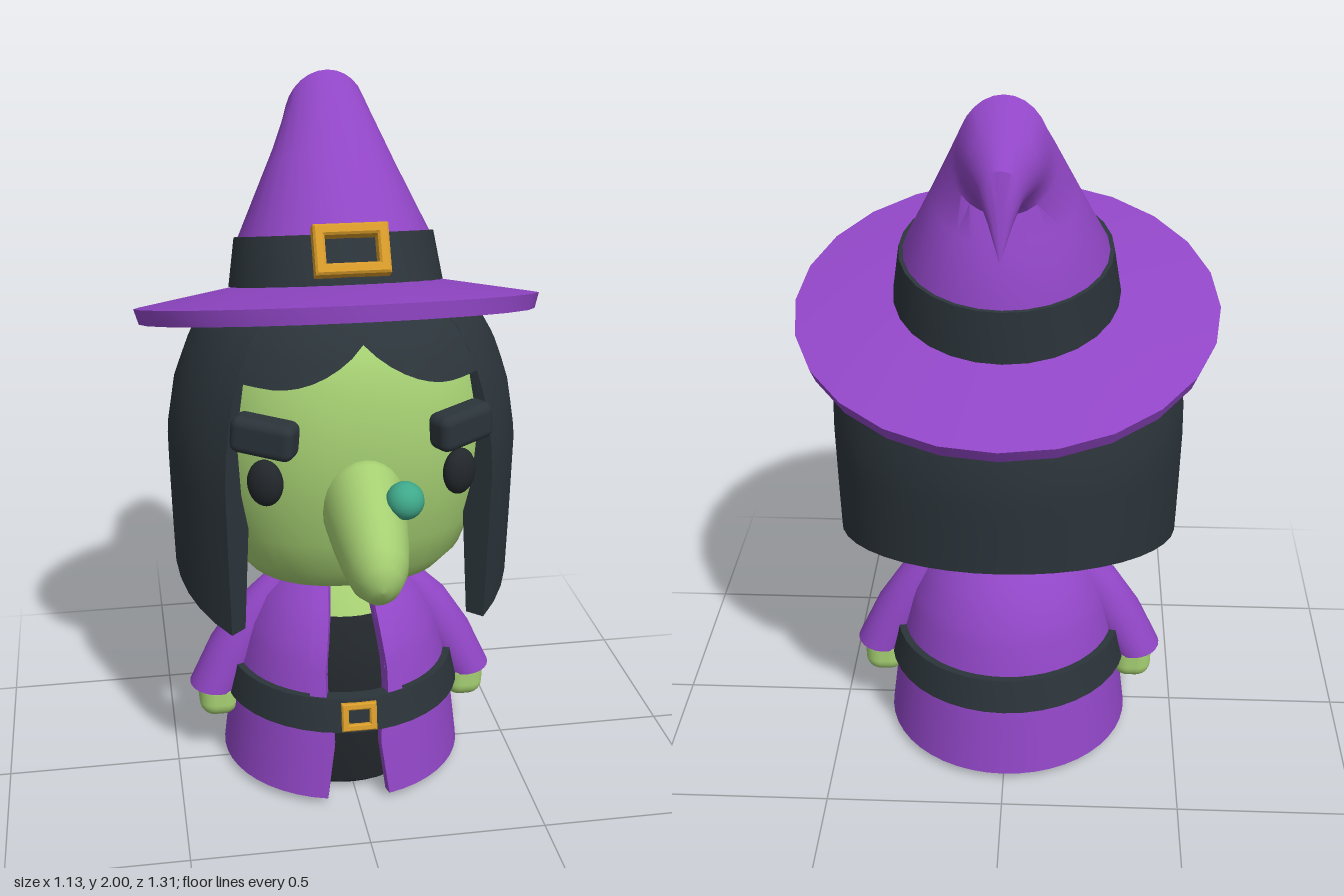
import * as THREE from 'three';
import { toCreasedNormals } from 'three/addons/utils/BufferGeometryUtils.js';
import { RoundedBoxGeometry } from 'three/addons/geometries/RoundedBoxGeometry.js';

const mat = (name, color) => Object.assign(new THREE.MeshStandardMaterial({ color }), { name });

// Piecewise-linear lookup in a list of [key, value] pairs
function interp(table, t) {
  for (let i = 1; i < table.length; i++) {
    const [a, va] = table[i - 1], [b, vb] = table[i];
    if (t <= b) return va + (vb - va) * Math.max(0, (t - a) / (b - a));
  }
  return table[table.length - 1][1];
}

function fromQuads(quads, crease) {
  const pos = [];
  for (const [a, b, c, d] of quads) pos.push(...a, ...b, ...c, ...a, ...c, ...d);
  const g = new THREE.BufferGeometry();
  g.setAttribute('position', new THREE.Float32BufferAttribute(pos, 3));
  return toCreasedNormals(g, crease);
}

// Thick sheet: point(column, row, layer), layer 0 outside and 1 inside
function shell(nu, nv, point, crease = 0.8) {
  const q = [];
  for (let i = 0; i < nu; i++) {
    for (let j = 0; j < nv; j++) {
      q.push([point(i, j, 0), point(i + 1, j, 0), point(i + 1, j + 1, 0), point(i, j + 1, 0)]);
      q.push([point(i, j, 1), point(i, j + 1, 1), point(i + 1, j + 1, 1), point(i + 1, j, 1)]);
    }
    q.push([point(i, 0, 0), point(i, 0, 1), point(i + 1, 0, 1), point(i + 1, 0, 0)]);
    q.push([point(i, nv, 0), point(i + 1, nv, 0), point(i + 1, nv, 1), point(i, nv, 1)]);
  }
  for (let j = 0; j < nv; j++) {
    q.push([point(0, j, 0), point(0, j + 1, 0), point(0, j + 1, 1), point(0, j, 1)]);
    q.push([point(nu, j, 0), point(nu, j, 1), point(nu, j + 1, 1), point(nu, j + 1, 0)]);
  }
  return fromQuads(q, crease);
}

// Closed loft through ellipses given as [ax, ay, bx, by, half width in z]
function loft(sections, n = 28, crease = 0.75) {
  const cap = ([ax, ay, bx, by]) => [(ax + bx) / 2, (ay + by) / 2, (ax + bx) / 2, (ay + by) / 2, 0];
  const s = [cap(sections[0]), ...sections, cap(sections[sections.length - 1])];
  const p = (i, k) => {
    const [ax, ay, bx, by, w] = s[i], f = ((k % n) / n) * Math.PI * 2, c = Math.cos(f) / 2;
    return [(ax + bx) / 2 + (ax - bx) * c, (ay + by) / 2 + (ay - by) * c, w * Math.sin(f)];
  };
  const q = [];
  for (let i = 0; i < s.length - 1; i++)
    for (let k = 0; k < n; k++) q.push([p(i, k), p(i + 1, k), p(i + 1, k + 1), p(i, k + 1)]);
  return fromQuads(q, crease);
}

const lathe = (pts, n = 40) => new THREE.LatheGeometry(pts.map(([x, y]) => new THREE.Vector2(x, y)), n);

// Rectangular bevelled buckle frame centred on the origin
function buckleFrame(w, h, bar, depth) {
  const rect = (C, a, b) => new C([[-a, -b], [a, -b], [a, b], [-a, b]].map(([x, y]) => new THREE.Vector2(x, y)));
  const bevel = bar * 0.2;
  const s = rect(THREE.Shape, w / 2 - bevel, h / 2 - bevel);
  s.holes.push(rect(THREE.Path, w / 2 - bar + bevel, h / 2 - bar + bevel));
  const g = new THREE.ExtrudeGeometry(s, {
    depth: depth - 2 * bevel, bevelThickness: bevel, bevelSize: bevel, bevelSegments: 1,
  });
  return g.translate(0, 0, -depth / 2 + bevel);
}

export function createModel() {
  const purple = mat('purple cloth', 0x9146c6);
  const green = mat('green skin', 0xa5cf72);
  const dark = mat('dark hair and bands', 0x2b343a);
  const black = mat('black dress', 0x22272b);
  const gold = mat('gold', 0xd99c2a);
  const teal = mat('teal wart', 0x3fa98a);

  const model = new THREE.Group();
  const add = (name, geo, material, pos = [0, 0, 0], rot = [0, 0, 0]) => {
    const m = new THREE.Mesh(geo, material);
    m.name = name;
    m.position.set(...pos);
    m.rotation.set(...rot);
    model.add(m);
    return m;
  };

  // Head: turned profile with a slightly squared plan
  const headGeo = lathe([[0, .65], [.12, .65], [.22, .657], [.29, .68], [.34, .74], [.375, .84], [.405, .97], [.415, 1.1],
    [.405, 1.2], [.385, 1.3], [.35, 1.37], [.29, 1.42], [.15, 1.45], [0, 1.455]], 48);
  const hp = headGeo.attributes.position;
  for (let i = 0; i < hp.count; i++) {
    const x = hp.getX(i), z = hp.getZ(i), r = Math.hypot(x, z);
    if (r < 1e-6) continue;
    const f = (Math.abs(x / r) ** 2.4 + Math.abs(z / r) ** 2.4) ** (-1 / 2.4);
    hp.setXYZ(i, x * f, hp.getY(i), z * f);
  }
  add('head', toCreasedNormals(headGeo, 1), green, [0, 0, -.03]);

  // Nose and wart
  const nose = lathe([[0, 0], [.15, 0], [.148, .08], [.135, .18], [.118, .27], [.1, .33], [.07, .37], [.035, .39], [0, .395]], 28);
  add('nose', nose, green, [0, .985, .275], [Math.PI * .61, 0, 0]).scale.x = .75;
  add('wart', new THREE.SphereGeometry(.05, 20, 14), teal, [.083, 1.03, .49]);

  // Eyes and brows
  for (const s of [-1, 1]) {
    add('eye', new THREE.SphereGeometry(1, 20, 14), black, [s * .258, 1.04, .345], [0, s * .55, 0]).scale.set(.05, .064, .035);
    add('brow', new RoundedBoxGeometry(.175, .1, .08, 3, .025), dark, [s * .258, 1.172, .35], [0, s * .5, s * .08]);
  }

  // Hair: thick shell with a short parted fringe and a slanted lower hem
  const hairR = [[.55, .478], [.8, .485], [1.05, .49], [1.2, .465], [1.31, .425], [1.38, .385], [1.43, .34], [1.48, .26], [1.5, 0]];
  const half = [];
  for (let i = 0; i <= 10; i++) half.push(i * .082);
  for (let i = 0; i <= 16; i++) half.push(.825 + (i / 16) * (Math.PI - .825));
  const cols = [...half, ...half.slice(0, -1).reverse().map((a) => Math.PI * 2 - a)];
  add('hair', shell(cols.length - 1, 16, (i, j, layer) => {
    const a = cols[i], front = Math.min(a, Math.PI * 2 - a);
    const bottom = front < .822
      ? 1.29 + .11 * (1 - Math.min(front / .6, 1)) ** 2
      : .57 + (.33 - Math.cos(a) * .485) * .278;
    const y = bottom + (1.5 - bottom) * Math.sin((j / 16) * Math.PI / 2);
    const r = Math.max(0, interp(hairR, y) - layer * .055);
    const z = Math.cos(a) * r - .03;
    return [Math.sin(a) * r, Math.min(y, 1.39 + .27 * z), z];
  }), dark);

  // Hat: tilted brim, bent cone, band and buckle
  const brim = lathe([[0, -.02], [.552, -.025], [.565, .018], [.3, .065], [0, .07]], 24);
  add('hatBrim', toCreasedNormals(brim, .5), purple, [0, 1.37, -.105], [-.265, 0, 0]);
  const turn = [0, -Math.PI / 2, 0];
  add('hatCone', loft([
    [.16, 1.52, -.415, 1.36, .285], [.095, 1.63, -.412, 1.5, .268], [-.08, 1.815, -.365, 1.65, .185],
    [-.21, 1.95, -.335, 1.72, .132], [-.265, 2, -.35, 1.735, .115], [-.37, 1.945, -.385, 1.757, .088],
    [-.47, 1.88, -.425, 1.757, .055], [-.49, 1.78, -.455, 1.73, .03], [-.508, 1.67, -.506, 1.672, .002],
  ]), purple, [0, 0, 0], turn);
  add('hatBand', loft([[.175, 1.51, -.422, 1.36, .3], [.105, 1.632, -.42, 1.5, .279]]), dark, [0, 0, 0], turn);
  add('hatBuckle', buckleFrame(.2, .135, .03, .055), gold, [0, 1.597, .145], [-.5, 0, 0]);

  // Dress and chest under the robe
  const cz = -.04;
  add('dress', toCreasedNormals(lathe([[0, 0], [.24, 0], [.265, .02], [.285, .2], [.28, .34], [.25, .45], [.208, .53], [0, .53]]), .6),
    black, [0, 0, cz]);
  add('chest', lathe([[.206, .525], [.17, .58], [.115, .63], [.085, .66], [.08, .7]]), green, [0, 0, cz]);

  // Robe: shell open along the front
  const robeR = [[.02, .355], [.24, .328], [.34, .308], [.45, .28], [.55, .225], [.62, .15], [.66, .09]];
  const gapX = [[.02, .09], [.2, .065], [.3, .085], [.4, .085], [.66, .05]];
  const gap = (y) => Math.asin(interp(gapX, y) / interp(robeR, y));
  const onRobe = (a, y, lift) => {
    const r = interp(robeR, y) + lift;
    return [Math.sin(a) * r, y, Math.cos(a) * r + cz];
  };
  add('robe', shell(44, 16, (i, j, layer) => {
    const y = .02 + .04 * j, g = gap(y);
    return onRobe(g + (i / 44) * (Math.PI * 2 - 2 * g), y, -.028 * layer);
  }), purple);

  // Lapels bordering the upper opening
  for (const s of [-1, 1])
    add('lapel', shell(3, 8, (i, j, layer) => {
      const y = .32 + .0425 * j, r = interp(robeR, y);
      const t = (s > 0 ? i : 3 - i) / 3;
      return onRobe(s * (gap(y) + t * .045 / r), y, layer ? -.02 : .014);
    }), purple);

  // Belt and buckle
  add('belt', toCreasedNormals(lathe([[.29, .238], [.35, .238], [.33, .335], [.29, .335]]), .6), dark, [0, 0, cz]);
  add('beltBuckle', buckleFrame(.1, .082, .02, .03), gold, [0, .285, .298], [-.2, 0, 0]);

  // Sleeves and hands
  const sleeve = loft([
    [.455, .245, .305, .235, .085], [.39, .385, .26, .31, .078], [.315, .5, .2, .4, .068],
    [.21, .598, .14, .5, .052], [.08, .655, .08, .6, .03],
  ], 24);
  for (const s of [-1, 1]) {
    add('sleeve', sleeve, purple, [0, 0, -.035], [0, s > 0 ? 0 : Math.PI, 0]);
    add('hand', new RoundedBoxGeometry(.115, .125, .16, 4, .045), green, [s * .373, .216, -.035]);
  }
  return model;
}
